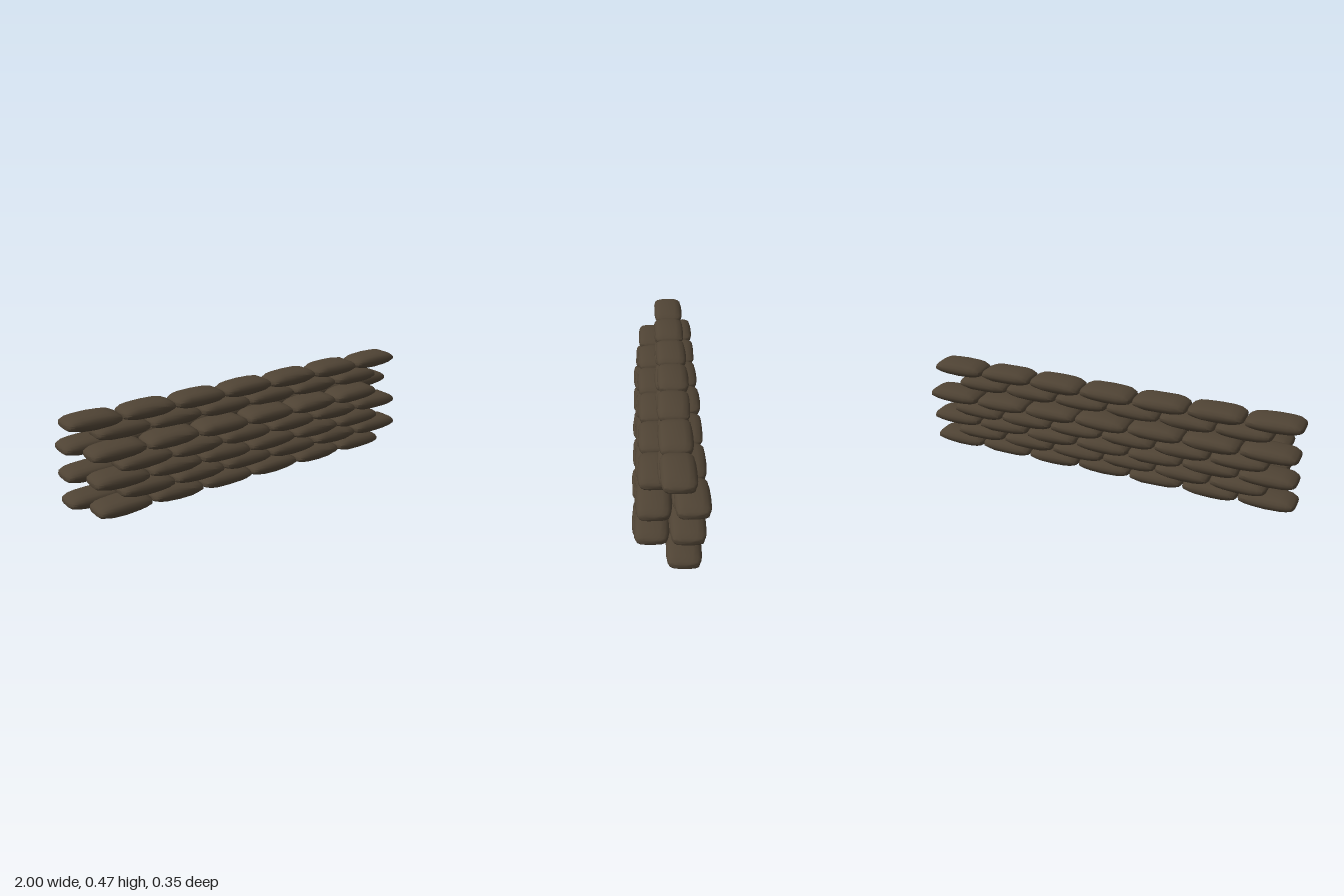
import * as THREE from 'three';
import { toCreasedNormals } from 'three/addons/utils/BufferGeometryUtils.js';

// small seeded random in -1..1
let seed = 7;
const rand = () => {
  seed = (seed * 16807) % 2147483647;
  return (seed / 2147483647) * 2 - 1;
};

// half of the bag's cross-section as [z, y], from top to bottom
const half = [[0, 1], [0.5, 0.98], [0.8, 0.78], [0.96, 0.4], [1, 0], [0.95, -0.45], [0.74, -0.86], [0.45, -1]];
const ring = [...half, ...half.slice(1).reverse().map(([z, y]) => [-z, y])];

// lengthwise stations: [x, half depth, half height, y offset]
const side = [[0.139, 0.05, 0.012, -0.003], [0.13, 0.066, 0.019, -0.002], [0.105, 0.075, 0.028, 0], [0.07, 0.078, 0.034, 0]];
const stations = [
  ...side.map(([x, d, h, o]) => [-x, d, h, o]),
  [0, 0.079, 0.0365, 0],
  ...side.slice().reverse(),
];

// a stuffed bag lofted through the stations, pinched at both ends
function bagGeometry() {
  const pos = [], idx = [], n = ring.length, last = stations.length - 1;
  for (const [x, d, h, o] of stations)
    for (const [z, y] of ring) pos.push(x, y * h + o + rand() * 0.001, z * d + rand() * 0.0015);
  for (let i = 0; i < last; i++)
    for (let j = 0; j < n; j++) {
      const k = (j + 1) % n;
      const a = i * n + j, b = i * n + k, c = b + n, e = a + n;
      idx.push(a, b, c, a, c, e);
    }
  // end caps
  const c0 = pos.length / 3;
  pos.push(-0.141, -0.003, 0, 0.141, -0.003, 0);
  for (let j = 0; j < n; j++) {
    const k = (j + 1) % n;
    idx.push(c0, k, j, c0 + 1, last * n + j, last * n + k);
  }
  const g = new THREE.BufferGeometry();
  g.setAttribute('position', new THREE.Float32BufferAttribute(pos, 3));
  g.setIndex(idx);
  return toCreasedNormals(g, 0.75);
}

export function createModel() {
  seed = 7;
  const group = new THREE.Group();
  group.name = 'sandbagWall';
  const burlap = new THREE.MeshStandardMaterial({ color: 0x4f4334 });
  burlap.name = 'brown burlap';
  const shapes = [bagGeometry(), bagGeometry(), bagGeometry()];
  const pitch = 0.2865;

  // courses: [name, first bag x, number of bags, y, z]
  const courses = [
    ['backCourse1', -0.86, 7, 0.039, -0.058],
    ['frontCourse1', -0.79, 6, 0.039, 0.093],
    ['backCourse2', -0.717, 6, 0.105, -0.07],
    ['frontCourse2', -0.66, 6, 0.105, 0.083],
    ['backCourse3', -0.86, 7, 0.171, -0.077],
    ['frontCourse3', -0.79, 6, 0.171, 0.078],
    ['backCourse4', -0.717, 6, 0.239, -0.085],
    ['frontCourse4', -0.66, 6, 0.239, 0.073],
    ['backCourse5', -0.86, 7, 0.305, -0.092],
    ['frontCourse5', -0.79, 6, 0.305, 0.063],
    ['topCourse1', -0.717, 6, 0.368, -0.027],
    ['topCourse2', -0.86, 7, 0.436, -0.033],
  ];
  for (const [name, x0, count, y, z] of courses) {
    const course = new THREE.Group();
    course.name = name;
    for (let i = 0; i < count; i++) {
      const bag = new THREE.Mesh(shapes[i % shapes.length], burlap);
      bag.name = 'sandbag';
      bag.position.set(x0 + i * pitch, y + rand() * 0.0015, z + rand() * 0.003);
      bag.rotation.set(rand() * 0.03, rand() * 0.02, rand() * 0.025);
      course.add(bag);
    }
    group.add(course);
  }
  return group;
}
